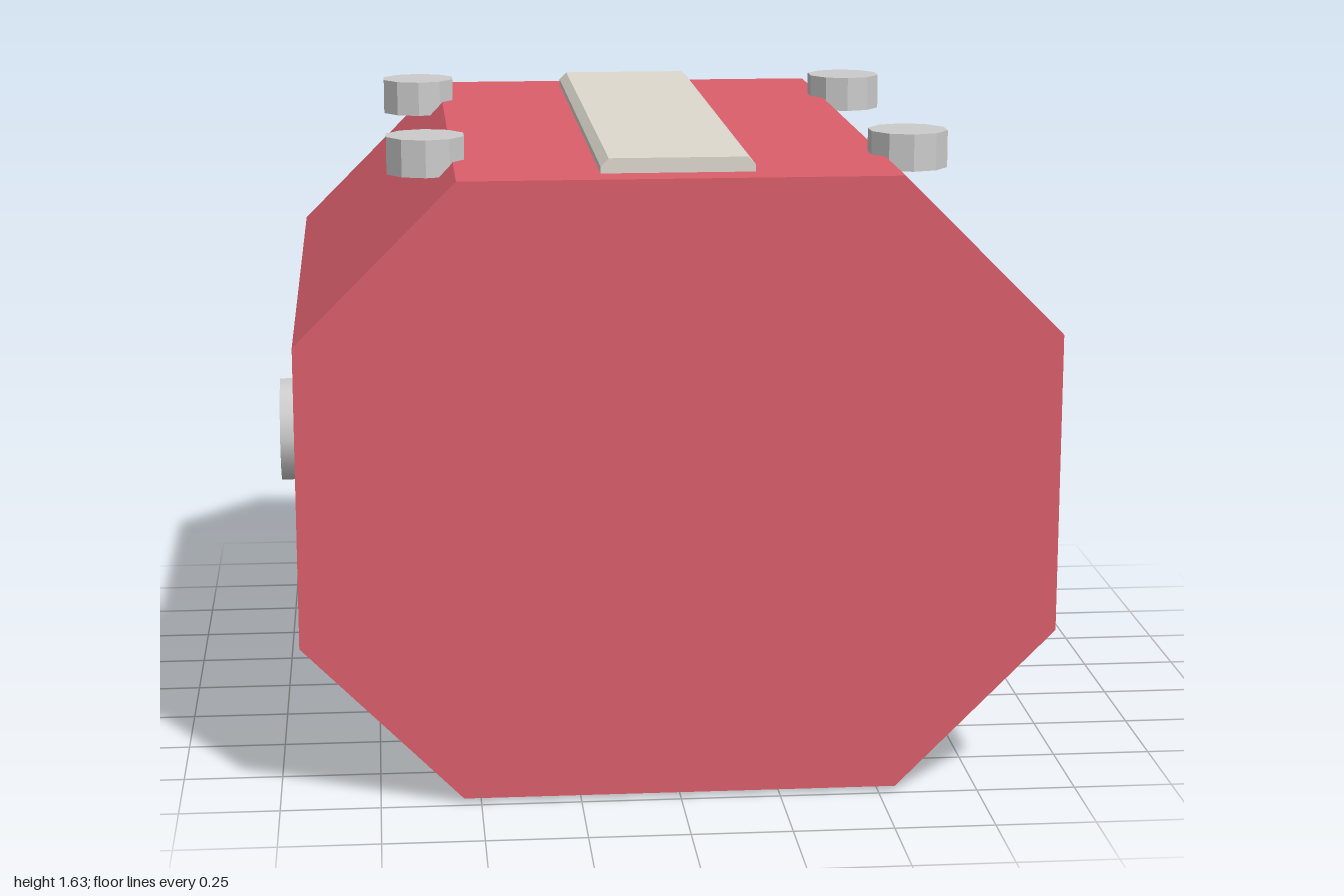
import * as THREE from 'three';

const mat = (color, flatShading = true) => new THREE.MeshStandardMaterial({ color, flatShading });
const red = mat(0xdb5f6b);
const cream = mat(0xdedacf);
const dark = mat(0x4b485c);
const darkSmooth = mat(0x4b485c, false);
const silver = mat(0xcccccc);
const silverSmooth = mat(0xcccccc, false);

// Rectangle with cut corners, extruded along z from z0 to z1
function chamferedBlock(name, material, [x0, x1], [y0, y1], [z0, z1], cut) {
  const shape = new THREE.Shape([
    [x0 + cut, y0], [x1 - cut, y0], [x1, y0 + cut], [x1, y1 - cut],
    [x1 - cut, y1], [x0 + cut, y1], [x0, y1 - cut], [x0, y0 + cut],
  ].map(([x, y]) => new THREE.Vector2(x, y)));
  const geometry = new THREE.ExtrudeGeometry(shape, { depth: z1 - z0, bevelEnabled: false });
  geometry.translate(0, 0, z0);
  const mesh = new THREE.Mesh(geometry, material);
  mesh.name = name;
  return mesh;
}

export function createModel() {
  const model = new THREE.Group();
  model.name = 'octagonalUnit';

  // Octagonal body and the strip along its top
  model.add(
    chamferedBlock('body', red, [-0.943, 0.943], [0.012, 1.568], [-0.904, 0.984], 0.4),
    chamferedBlock('topStrip', cream, [-0.19, 0.19], [1.53, 1.605], [-0.81, 0.888], 0.02),
  );

  // Back panels
  const back = -0.89;
  model.add(
    chamferedBlock('backRail', cream, [-0.8, 0.8], [1.03, 1.213], [-0.974, back], 0.055),
    chamferedBlock('upperBackPanel', dark, [-0.71, 0.71], [0.707, 1.008], [-0.952, back], 0.058),
    chamferedBlock('lowerBackPanel', dark, [-0.71, 0.71], [0.105, 0.432], [-0.974, back], 0.09),
    chamferedBlock('backHandle', cream, [-0.52, -0.145], [0.903, 0.957], [-0.984, -0.94], 0.016),
  );

  // Round knob on each side
  for (const side of [-1, 1]) {
    const knob = new THREE.Mesh(new THREE.CylinderGeometry(0.14, 0.14, 0.1, 12), silverSmooth);
    knob.name = side > 0 ? 'leftKnob' : 'rightKnob';
    knob.rotation.z = Math.PI / 2;
    knob.position.set(side * 0.95, 0.767, 0.135);
    model.add(knob);

    // Studs over the upper slopes
    for (const z of [0.602, -0.53]) {
      const stud = new THREE.Mesh(new THREE.CylinderGeometry(0.102, 0.102, 0.094, 10), silver);
      stud.name = 'topStud';
      stud.position.set(side * 0.61, 1.58, z);
      model.add(stud);
    }
  }

  // Ring sunk into the underside
  const ring = new THREE.Mesh(new THREE.TorusGeometry(0.632, 0.108, 8, 24), darkSmooth);
  ring.name = 'baseRing';
  ring.rotation.x = Math.PI / 2;
  ring.position.set(0, 0.108, 0.068);
  model.add(ring);

  return model;
}
